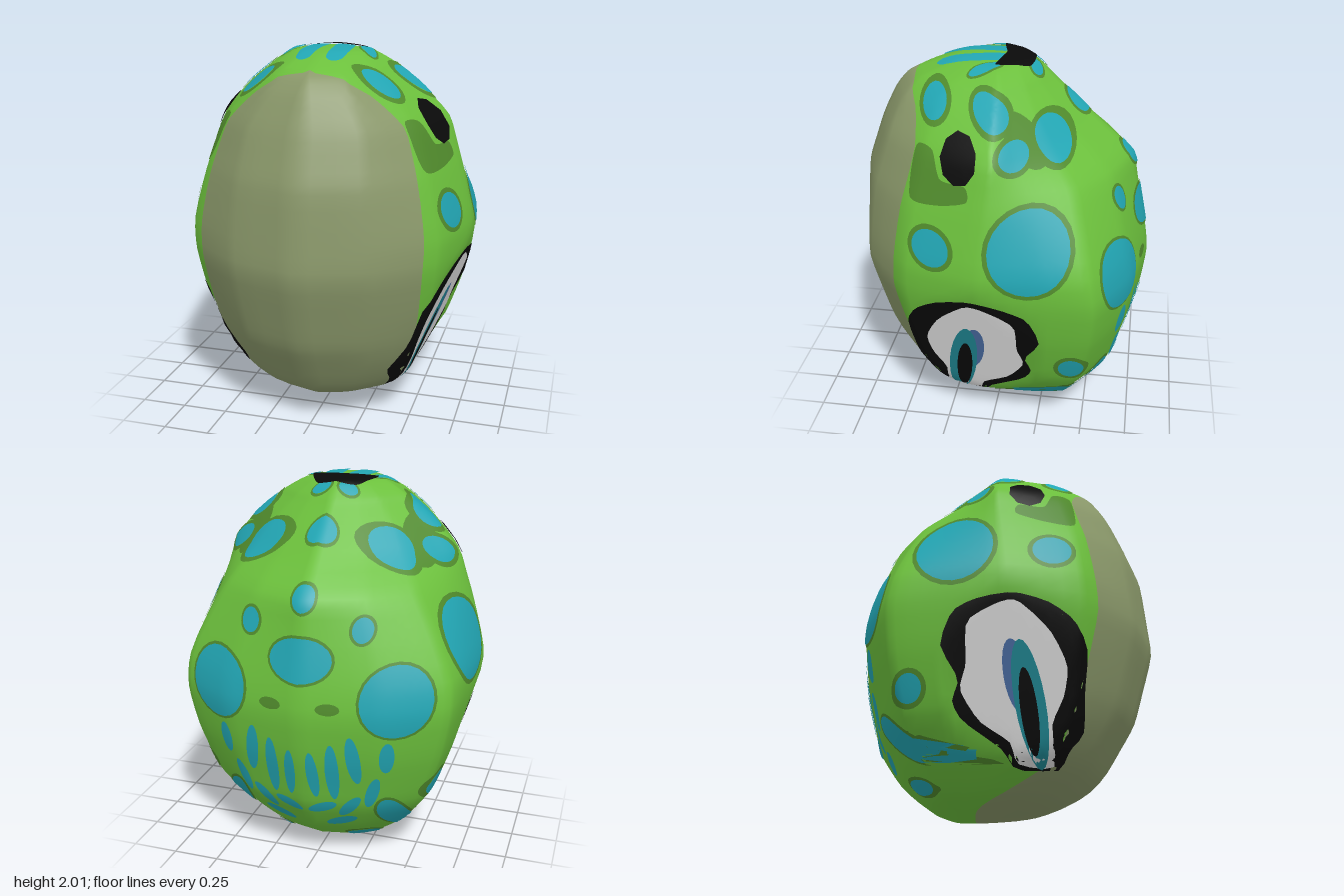
import * as THREE from 'three';
import { mergeVertices } from 'three/addons/utils/BufferGeometryUtils.js';

const paint = (name, color) => {
  const m = new THREE.MeshStandardMaterial({ color });
  m.name = name;
  return m;
};
const softCurve = (points, tension, closed = false) => new THREE.CatmullRomCurve3(
  points.map(([a, b, c = 0]) => new THREE.Vector3(a, b, c)), closed, 'catmullrom', tension);

// Half outlines from front to back (x, z): boxy low down, rounder near the crown.
const lowSection = softCurve([
  [0, 0.8], [0.36, 0.69], [0.67, 0.43], [0.775, 0.04], [0.755, -0.3], [0.72, -0.55], [0.41, -0.72], [0, -0.8],
], 0.2);
const highSection = softCurve([
  [0, 0.8], [0.36, 0.68], [0.62, 0.4], [0.775, -0.02], [0.67, -0.2], [0.5, -0.44], [0.28, -0.64], [0, -0.8],
], 0.2);
const LAST = 7;

// Levels: y, front z, back z, half width, centre z, face plate edge along the section.
const levels = [
  [0, -0.17, -0.17, 0, -0.17, 3.3],
  [0.03, 0.0, -0.3, 0.13, -0.16, 3],
  [0.08, 0.27, -0.43, 0.3, -0.08, 2.6],
  [0.2, 0.48, -0.57, 0.46, 0.04, 2.2],
  [0.38, 0.6, -0.69, 0.6, 0.02, 1.88],
  [0.52, 0.68, -0.73, 0.66, 0, 1.82],
  [0.7, 0.735, -0.775, 0.72, 0, 1.75],
  [0.92, 0.795, -0.8, 0.765, 0, 1.71],
  [1.1, 0.785, -0.775, 0.775, 0, 1.71],
  [1.36, 0.76, -0.72, 0.715, 0, 1.76],
  [1.5, 0.715, -0.685, 0.675, 0, 1.77],
  [1.65, 0.66, -0.525, 0.625, 0, 1.74],
  [1.8, 0.585, -0.36, 0.48, 0, 1.46],
  [1.88, 0.52, -0.275, 0.38, 0, 0.93],
  [1.92, 0.45, -0.235, 0.33, 0, 0],
  [1.98, 0.28, -0.165, 0.22, 0.02, 0],
  [1.995, 0.16, -0.09, 0.1, 0.03, 0],
  [2, 0.04, 0.04, 0, 0.04, 0],
];
const depthCurve = softCurve(levels.map((l) => [l[0], l[1], l[2]]), 0.35);
const widthCurve = softCurve(levels.map((l) => [l[3], l[4], l[5]]), 0.35);

// Point on the shell; the sides are cut by a slanted flat for each eye.
function shellPoint(u, y, front, back, width, mid) {
  const t = Math.min(1, Math.abs(u) / LAST);
  const round = THREE.MathUtils.clamp((y - 0.85) / 0.8, 0, 1) ** 2;
  const s = lowSection.getPoint(t).lerp(highSection.getPoint(t), round);
  const z = mid + (s.y > 0 ? s.y * (front - mid) : s.y * (mid - back)) / 0.8;
  const outside = Math.max(0, -0.25 - z, z - 0.45);
  const flat = 0.44 + 0.385 * (y - 0.15) - 0.12 * (z - 0.1) + outside * 2.5;
  return [Math.sign(u) * Math.min(s.x * width / 0.775, flat), y, z];
}

// Closed shell: skin behind, plain plate on the face.
function shellGeometry() {
  const BACK = 26, FACE = 12, ROWS = (levels.length - 1) * 3;
  const cols = 2 * BACK + FACE;
  const pos = [], skin = [], face = [];
  for (let j = 0; j <= ROWS; j++) {
    const d = depthCurve.getPoint(j / ROWS), w = widthCurve.getPoint(j / ROWS);
    const edge = Math.max(0, w.z);
    for (let i = 0; i <= cols; i++) {
      let u;
      if (i < BACK) u = -LAST + (LAST - edge) * i / BACK;
      else if (i <= BACK + FACE) u = edge * (2 * (i - BACK) / FACE - 1);
      else u = edge + (LAST - edge) * (i - BACK - FACE) / BACK;
      pos.push(...shellPoint(u, d.x, d.y, d.z, Math.max(0, w.x), w.y));
    }
  }
  for (let j = 0; j < ROWS; j++) {
    for (let i = 0; i < cols; i++) {
      const a = j * (cols + 1) + i, c = a + cols + 1;
      (i >= BACK && i < BACK + FACE ? face : skin).push(a, a + 1, c + 1, a, c + 1, c);
    }
  }
  let g = new THREE.BufferGeometry();
  g.setAttribute('position', new THREE.Float32BufferAttribute(pos, 3));
  g.setIndex([...skin, ...face]);
  g = mergeVertices(g, 1e-4);
  g.clearGroups();
  g.addGroup(0, skin.length, 0);
  g.addGroup(skin.length, face.length, 1);
  g.computeVertexNormals();
  return g;
}

// Outlines: a turned oval, or a rounded closed loop through a few points
const oval = (h, v, rh, rv, turn = 0, n = 24) => Array.from({ length: n }, (_, i) => {
  const a = i / n * Math.PI * 2, p = rh * Math.cos(a), q = rv * Math.sin(a);
  return [h + p * Math.cos(turn) - q * Math.sin(turn), v + p * Math.sin(turn) + q * Math.cos(turn)];
});
const loop = (points) => softCurve(points, 0.35, true).getPoints(40).slice(0, -1).map((p) => [p.x, p.y]);

// Rays towards the shell for outlines drawn on the side (z, y), top (x, z) or back (x, y).
const rays = {
  side: (h, v, m) => [new THREE.Vector3(3 * m, v, h), new THREE.Vector3(-m, 0, 0)],
  top: (h, v, m) => [new THREE.Vector3(h * m, 4, v), new THREE.Vector3(0, -1, 0)],
  back: (h, v, m) => [new THREE.Vector3(h * m, v, -3), new THREE.Vector3(0, 0, 1)],
};

export function createModel() {
  const model = new THREE.Group();
  const green = paint('skinGreen', 0x6cc03c), olive = paint('rimOlive', 0x508a2c);
  const plate = paint('faceBeige', 0x8a986a), blue = paint('spotBlue', 0x22a6b4);
  const black = paint('black', 0x0a0a0a), white = paint('eyeWhite', 0xe8e8e8);
  const slate = paint('irisSlate', 0x4c70a8), teal = paint('irisTeal', 0x208c98);

  const shell = new THREE.Mesh(shellGeometry(), [green, plate]);
  shell.name = 'headShell';
  model.add(shell);
  shell.updateMatrixWorld(true);
  const caster = new THREE.Raycaster();

  // Thin patch laid on the shell, filling an outline from fraction `inner` outwards.
  function patch(name, view, outline, material, lift, m = 1, inner = 0) {
    const n = outline.length, rings = inner ? 2 : n > 30 ? 12 : 6;
    const ch = outline.reduce((t, p) => t + p[0], 0) / n, cv = outline.reduce((t, p) => t + p[1], 0) / n;
    const pos = [], nor = [], idx = [];
    for (let r = 0; r <= rings; r++) {
      for (const [h, v] of outline) {
        let f = inner + (1 - inner) * r / rings, hit;
        for (let tries = 0; tries < 20 && !hit; tries++, f *= 0.93) {
          caster.set(...rays[view](ch + (h - ch) * f, cv + (v - cv) * f, m));
          hit = caster.intersectObject(shell)[0];
        }
        if (!hit) return;
        pos.push(...hit.point.addScaledVector(hit.normal, lift).toArray());
        nor.push(...hit.normal.toArray());
      }
    }
    const at = (list, i) => new THREE.Vector3().fromArray(list, i * 3);
    const tri = (a, b, c) => {
      const A = at(pos, a), face = at(pos, b).sub(A).cross(at(pos, c).sub(A));
      const out = at(nor, a).add(at(nor, b)).add(at(nor, c));
      idx.push(...(face.dot(out) < 0 ? [a, c, b] : [a, b, c]));
    };
    for (let r = 0; r < rings; r++) {
      for (let i = 0; i < n; i++) {
        const k = (i + 1) % n, a = r * n + i, b = r * n + k;
        tri(a, a + n, b + n);
        if (r || inner) tri(a, b + n, b);
      }
    }
    const g = new THREE.BufferGeometry();
    g.setAttribute('position', new THREE.Float32BufferAttribute(pos, 3));
    g.setAttribute('normal', new THREE.Float32BufferAttribute(nor, 3));
    g.setIndex(idx);
    const mesh = new THREE.Mesh(g, material);
    mesh.name = name;
    model.add(mesh);
  }
  const pair = (name, view, outline, material, lift) =>
    [1, -1].forEach((m) => patch(name, view, outline, material, lift, m));

  // Olive shading between spots
  pair('oliveShade', 'side', loop([
    [0.37, 1.66], [0.39, 1.43], [0.24, 1.42], [0.09, 1.46], [0.1, 1.53], [0.23, 1.54], [0.28, 1.66],
  ]), olive, 0.004);
  pair('oliveShade', 'top', oval(0.45, -0.16, 0.09, 0.12), olive, 0.004);
  pair('oliveShade', 'back', oval(0.15, 0.98, 0.06, 0.03), olive, 0.004);

  // Blue spots with olive rims: h, v, radii, turn
  const spots = {
    side: [
      [0.3, 1.84, 0.065, 0.07], [0.01, 1.83, 0.1, 0.06, 0.6], [-0.12, 1.66, 0.07, 0.06, 0.5],
      [-0.29, 1.69, 0.115, 0.06, 0.85], [0.27, 1.21, 0.1, 0.09, 0.4], [-0.22, 1.23, 0.2, 0.21],
      [-0.44, 0.51, 0.065, 0.07],
    ],
    top: [[0.2, 0.07, 0.035, 0.085, -0.5], [0.07, -0.17, 0.05, 0.03]],
    back: [
      [0.47, 1.02, 0.17, 0.18], [0.29, 1.36, 0.05, 0.06], [0.43, 0.32, 0.07, 0.13, 0.2], [0.24, 0.13, 0.08, 0.035],
    ],
  };
  const rims = { side: 0.024, top: 0.012, back: 0.014 };
  for (const [view, list] of Object.entries(spots)) {
    for (const [h, v, a, b, t] of list) {
      for (const m of [1, -1]) {
        patch('spotRim', view, oval(h, v, a + rims[view], b + rims[view], t), olive, 0.005, m, 0.7);
        patch('blueSpot', view, oval(h, v, a, b, t), blue, 0.008, m);
      }
    }
  }
  for (const [view, v, a, b] of [['top', -0.38, 0.075, 0.06], ['back', 1.5, 0.055, 0.06], ['back', 1.21, 0.16, 0.11]]) {
    patch('spotRim', view, oval(0, v, a + 0.014, b + 0.014), olive, 0.005, 1, 0.7);
    patch('middleSpot', view, oval(0, v, a, b), blue, 0.008);
  }

  // Stripes on the crown and nested arcs on the back
  pair('crownStripe', 'top', loop([
    [0.02, 0.0], [0.11, 0.0], [0.13, 0.15], [0.12, 0.3], [0.08, 0.34], [0.04, 0.31], [0.03, 0.15],
  ]), blue, 0.007);
  for (const s of [
    [0.06, 0.6, 0.03, 0.14, 0.05], [0.16, 0.62, 0.035, 0.17], [0.27, 0.7, 0.036, 0.14, 0.1],
    [0.35, 0.5, 0.03, 0.1, -0.3], [0.23, 0.4, 0.03, 0.09, -0.7], [0.09, 0.39, 0.03, 0.08, -1.2],
    [0.43, 0.72, 0.035, 0.09, -0.1], [0.17, 0.28, 0.03, 0.09, -1.2],
  ]) pair('backStripe', 'back', oval(...s), blue, 0.007);

  // Black crown crescent and side holes
  patch('crownCrescent', 'top', loop([
    [-0.18, 0.02], [-0.1, 0.01], [0, -0.01], [0.1, 0.01], [0.18, 0.02], [0.15, -0.07], [0.1, -0.14], [0, -0.16],
    [-0.1, -0.14], [-0.15, -0.07],
  ]), black, 0.0095);
  pair('sideHole', 'side', oval(0.14, 1.64, 0.095, 0.115, 0, 9), black, 0.008);

  // Eyes: outline, white, iris layers and slit pupil
  pair('eyeOutline', 'side', loop([
    [0.27, 0.17], [0.33, 0.25], [0.4, 0.34], [0.41, 0.5], [0.43, 0.7], [0.37, 0.83], [0.25, 0.91], [0.08, 0.95],
    [-0.1, 0.92], [-0.22, 0.86], [-0.28, 0.7], [-0.2, 0.55], [-0.23, 0.45], [-0.18, 0.36], [0, 0.24], [0.07, 0.16],
  ]), black, 0.004);
  pair('eyeWhite', 'side', loop([
    [0.25, 0.18], [0.25, 0.35], [0.31, 0.48], [0.33, 0.62], [0.25, 0.78], [0.1, 0.91], [0, 0.9], [-0.15, 0.81],
    [-0.16, 0.62], [-0.19, 0.5], [-0.1, 0.36], [0.04, 0.27], [0.08, 0.18],
  ]), white, 0.006);
  pair('irisShade', 'side', oval(0.08, 0.57, 0.06, 0.17, 0.15), slate, 0.0075);
  pair('iris', 'side', oval(0.145, 0.45, 0.075, 0.29, 0.16), teal, 0.0085);
  pair('pupil', 'side', oval(0.14, 0.41, 0.042, 0.2, 0.12), black, 0.0096);

  return model;
}
